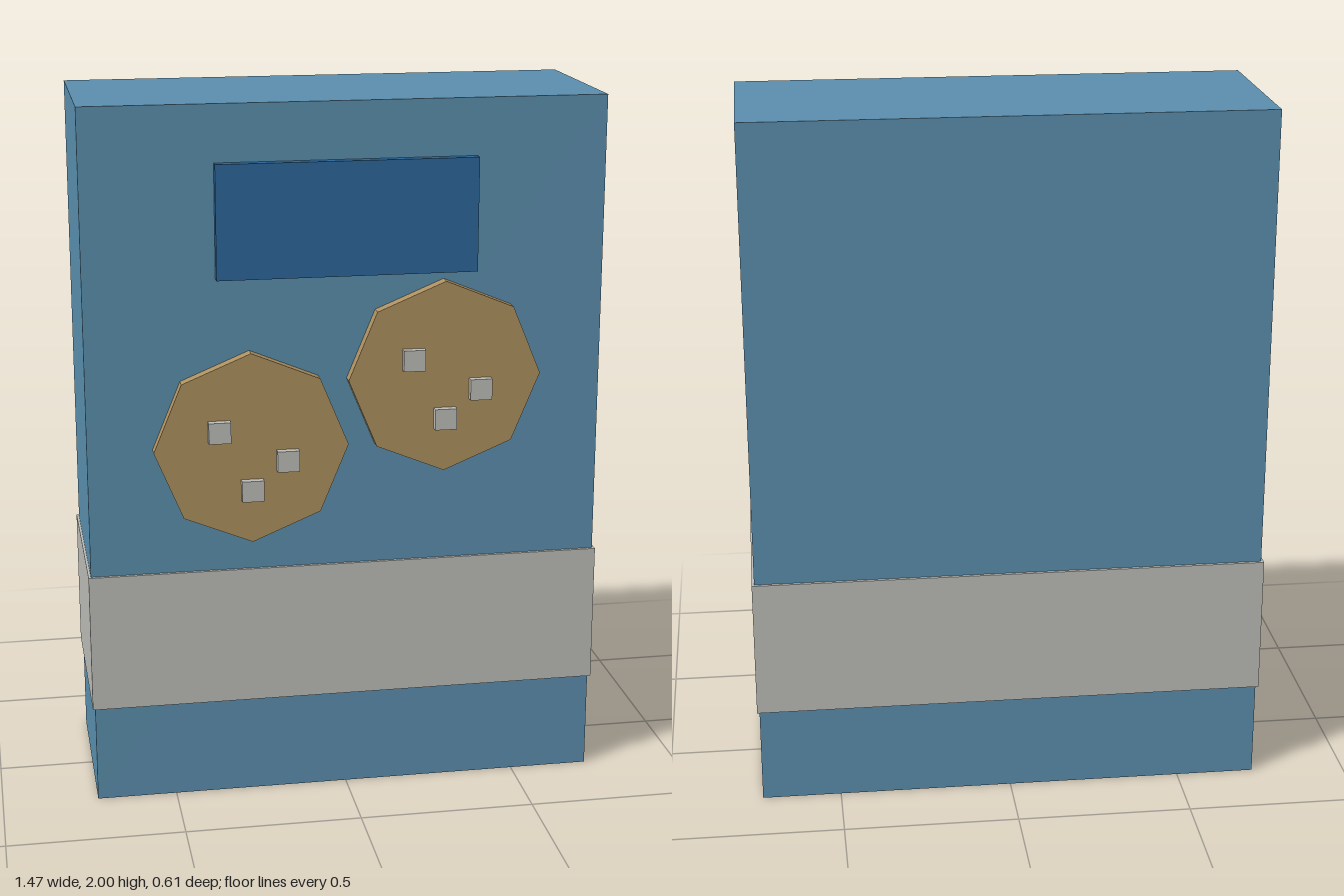
import * as THREE from 'three';

const mat = (name, color) => Object.assign(new THREE.MeshStandardMaterial({ color }), { name });

export function createModel() {
  const model = new THREE.Group();
  model.name = 'cookieBox';
  const blue = mat('box blue', 0x5b8fae);
  const navy = mat('label blue', 0x2c6699);
  const tan = mat('cookie tan', 0xae9160);
  const grey = mat('light grey', 0xbdbdb9);

  function addBox(parent, name, material, size, position) {
    const mesh = new THREE.Mesh(new THREE.BoxGeometry(...size), material);
    mesh.name = name;
    mesh.position.set(...position);
    parent.add(mesh);
  }

  // Carton, wrapped band and raised label
  const front = 0.25, centreZ = -0.023;
  addBox(model, 'carton', blue, [1.455, 2, 0.545], [0, 1, centreZ]);
  addBox(model, 'band', grey, [1.469, 0.4, 0.563], [0, 0.482, centreZ]);
  addBox(model, 'label', navy, [0.727, 0.318, 0.036], [0, 1.682, 0.259]);

  // Two eight-sided cookies with three square chips each
  for (const [x, y, name] of [[-0.273, 1.046, 'rightCookie'], [0.273, 1.228, 'leftCookie']]) {
    const cookie = new THREE.Group();
    cookie.name = name;
    cookie.position.set(x, y, front);
    const discGeometry = new THREE.CylinderGeometry(0.273, 0.273, 0.055, 8).toNonIndexed();
    discGeometry.computeVertexNormals();
    const disc = new THREE.Mesh(discGeometry, tan);
    disc.name = 'cookieDisc';
    disc.rotation.x = Math.PI / 2;
    disc.position.z = 0.0085;
    cookie.add(disc);
    for (const [cx, cy] of [[-0.091, 0.055], [0.1, -0.036], [0, -0.118]])
      addBox(cookie, 'chip', grey, [0.062, 0.06, 0.036], [cx, cy, 0.041]);
    model.add(cookie);
  }
  return model;
}
